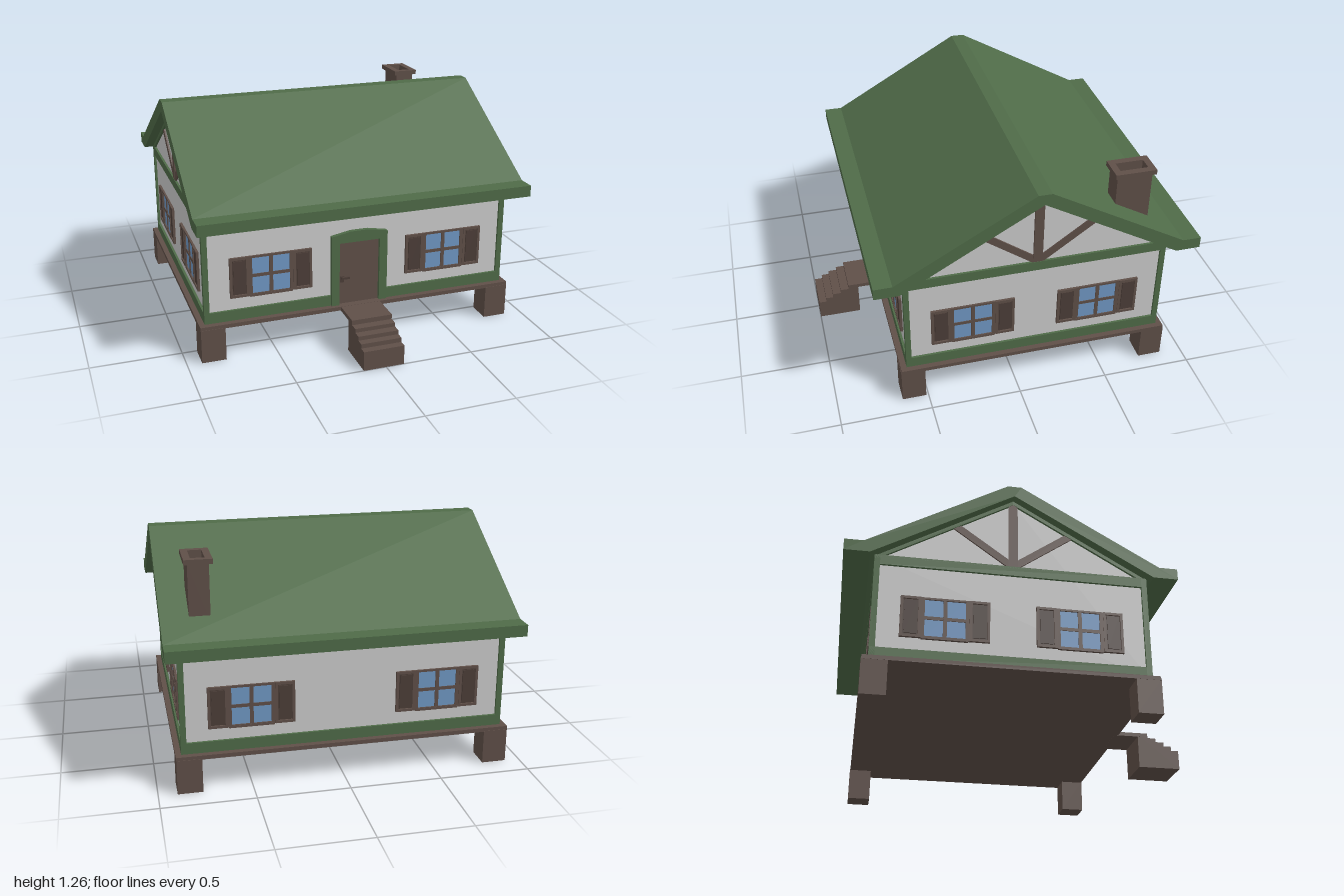
import * as THREE from 'three';

const mat = (color) => new THREE.MeshStandardMaterial({ color, flatShading: true });
const GREEN = mat(0x4f6b48), WOOD = mat(0x5f4f48), DARK = mat(0x4c3e38);
const WALL = mat(0xcccccc), GLASS = mat(0x7098c4);

// half sizes of the plastered walls and of the trim around them
const WX = 0.867, WZ = 0.712, TX = 0.88, TZ = 0.725;

function add(parent, name, geometry, material, x = 0, y = 0, z = 0) {
  const mesh = new THREE.Mesh(geometry, material);
  mesh.name = name;
  mesh.position.set(x, y, z);
  parent.add(mesh);
  return mesh;
}

const box = (parent, name, material, w, h, d, x, y, z) =>
  add(parent, name, new THREE.BoxGeometry(w, h, d), material, x, y, z);

const points = (list) => list.map(([x, y]) => new THREE.Vector2(x, y));

function extrude(outline, depth, hole) {
  const shape = new THREE.Shape(points(outline));
  if (hole) shape.holes.push(new THREE.Path(points(hole)));
  return new THREE.ExtrudeGeometry(shape, { depth, bevelEnabled: false });
}

const rect = (w, h) => [[-w / 2, -h / 2], [w / 2, -h / 2], [w / 2, h / 2], [-w / 2, h / 2]];
const ring = (w, h, iw, ih, depth) => extrude(rect(w, h), depth, rect(iw, ih));

// profile drawn across the house, swept along x and centred
function sweepX(outline, length) {
  return extrude(outline, length).translate(0, 0, -length / 2).rotateY(Math.PI / 2);
}

// shuttered window facing +z, its back on z = 0
function makeWindow() {
  const g = new THREE.Group();
  g.name = 'window';
  add(g, 'windowFrame', ring(0.25, 0.23, 0.21, 0.207, 0.011), WOOD);
  box(g, 'glass', GLASS, 0.22, 0.215, 0.004, 0, 0, 0.002);
  box(g, 'mullion', WOOD, 0.02, 0.21, 0.009, 0, 0, 0.0045);
  box(g, 'glazingBar', WOOD, 0.21, 0.018, 0.008, 0, 0, 0.004);
  box(g, 'sill', WOOD, 0.24, 0.012, 0.013, 0, -0.114, 0.0065);
  for (const s of [-1, 1]) {
    add(g, 'shutterFrame', ring(0.105, 0.23, 0.077, 0.202, 0.014), WOOD, s * 0.177);
    box(g, 'shutterBack', DARK, 0.09, 0.215, 0.005, s * 0.177, 0, 0.0025);
    box(g, 'shutterPanel', DARK, 0.063, 0.186, 0.01, s * 0.177, 0, 0.005);
  }
  return g;
}

// timbered gable facing +z, its back on z = 0
function makeGable() {
  const g = new THREE.Group();
  g.name = 'gable';
  add(g, 'rakeTrim', extrude([[-0.725, 0.785], [0.725, 0.785], [0, 1.205]], 0.013,
    [[-0.67, 0.795], [0.67, 0.795], [0, 1.183]]), GREEN);
  box(g, 'kingPost', WOOD, 0.05, 0.4, 0.011, 0, 0.99, 0.0055);
  for (const s of [-1, 1]) {
    const brace = box(g, 'brace', WOOD, 0.385, 0.04, 0.009, s * 0.153, 0.905, 0.0045);
    brace.rotation.z = s * Math.atan2(0.215, 0.3);
  }
  return g;
}

function makeDoor() {
  const g = new THREE.Group();
  g.name = 'frontDoor';
  const outer = [[-0.163, 0.2], [-0.117, 0.2], [-0.117, 0.577], [0.117, 0.577], [0.117, 0.2],
    [0.163, 0.2], [0.163, 0.62], [0.05, 0.641], [-0.05, 0.641], [-0.163, 0.62]];
  add(g, 'doorSurround', extrude(outer, 0.024), GREEN);
  box(g, 'door', WOOD, 0.236, 0.375, 0.005, 0, 0.39, 0.0025);
  box(g, 'handlePlate', DARK, 0.02, 0.035, 0.004, -0.095, 0.355, 0.007);
  box(g, 'handle', DARK, 0.05, 0.012, 0.008, -0.078, 0.362, 0.013);
  return g;
}

export function createModel() {
  const model = new THREE.Group();
  model.name = 'cottage';
  const house = new THREE.Group();
  house.name = 'house';
  house.position.set(-0.01, 0, -0.115);
  model.add(house);

  // raised floor on corner piers
  box(house, 'floor', WOOD, 1.82, 0.022, 1.515, 0, 0.197, 0);
  for (const sx of [-1, 1]) for (const sz of [-1, 1]) {
    box(house, 'pier', WOOD, 0.134, 0.19, 0.132, sx * 0.842, 0.095, sz * 0.694);
    box(house, 'cornerPost', GREEN, 0.03, 0.585, 0.03, sx * (TX - 0.015), 0.498, sz * (TZ - 0.015));
  }

  // walls with the gables in one pentagonal block
  add(house, 'walls', sweepX([[-WZ, 0.205], [WZ, 0.205], [WZ, 0.79], [0, 1.2], [-WZ, 0.79]], WX * 2), WALL);

  // horizontal trim bands; the lower front one stops at the door
  for (const s of [-1, 1]) {
    box(house, 'topBandLong', GREEN, TX * 2, 0.053, 0.03, 0, 0.7635, s * (TZ - 0.015));
    box(house, 'topBandSide', GREEN, 0.03, 0.055, TZ * 2, s * (TX - 0.015), 0.7675, 0);
    box(house, 'bottomBandSide', GREEN, 0.03, 0.062, TZ * 2, s * (TX - 0.015), 0.237, 0);
    box(house, 'bottomBandFront', GREEN, TX - 0.14, 0.062, 0.03, s * (TX + 0.14) / 2, 0.237, TZ - 0.015);
  }
  box(house, 'bottomBandBack', GREEN, TX * 2, 0.062, 0.03, 0, 0.237, 0.015 - TZ);

  // two windows on every wall, a gable at each end
  for (let i = 0; i < 4; i++) {
    const end = i % 2 === 1;
    const side = new THREE.Group();
    side.name = ['frontWall', 'leftWall', 'backWall', 'rightWall'][i];
    side.rotation.y = i * Math.PI / 2;
    const out = end ? WX : WZ;
    for (const s of [-1, 1]) {
      const win = makeWindow();
      win.position.set(s * (end ? 0.351 : 0.505), 0.453, out);
      side.add(win);
    }
    if (end) {
      const gable = makeGable();
      gable.position.z = out;
      side.add(gable);
    }
    house.add(side);
  }
  const door = makeDoor();
  door.position.set(-0.003, 0, WZ);
  house.add(door);

  // landing and solid steps
  box(house, 'landing', WOOD, 0.232, 0.022, 0.2, -0.003, 0.196, 0.833);
  const steps = [[-0.875, 0], [-1.115, 0], [-1.115, 0.11], [-1.072, 0.11], [-1.072, 0.135], [-1.029, 0.135],
    [-1.029, 0.158], [-0.981, 0.158], [-0.981, 0.18], [-0.933, 0.18], [-0.933, 0.2], [-0.875, 0.2]];
  add(house, 'steps', sweepX(steps, 0.23), WOOD, -0.003);

  // roof slab with flat ridge and flared eaves
  const half = [[0.75, 0.777], [0.885, 0.777], [0.885, 0.84], [0.785, 0.84], [0.037, 1.265]];
  const mirrored = half.map(([z, y]) => [-z, y]).reverse();
  add(house, 'roof', sweepX([...half, ...mirrored, [0, 1.205]], 1.88), GREEN, 0.01);

  // hollow chimney with cap
  const chimney = new THREE.Group();
  chimney.name = 'chimney';
  chimney.position.set(0.747, 0, -0.535);
  const stack = ring(0.11, 0.193, 0.073, 0.153, 0.32).rotateX(-Math.PI / 2);
  add(chimney, 'chimneyStack', stack, WOOD, 0, 0.885, 0);
  const cap = ring(0.147, 0.225, 0.073, 0.153, 0.027).rotateX(-Math.PI / 2);
  add(chimney, 'chimneyCap', cap, WOOD, 0, 1.2, 0);
  house.add(chimney);

  return model;
}
